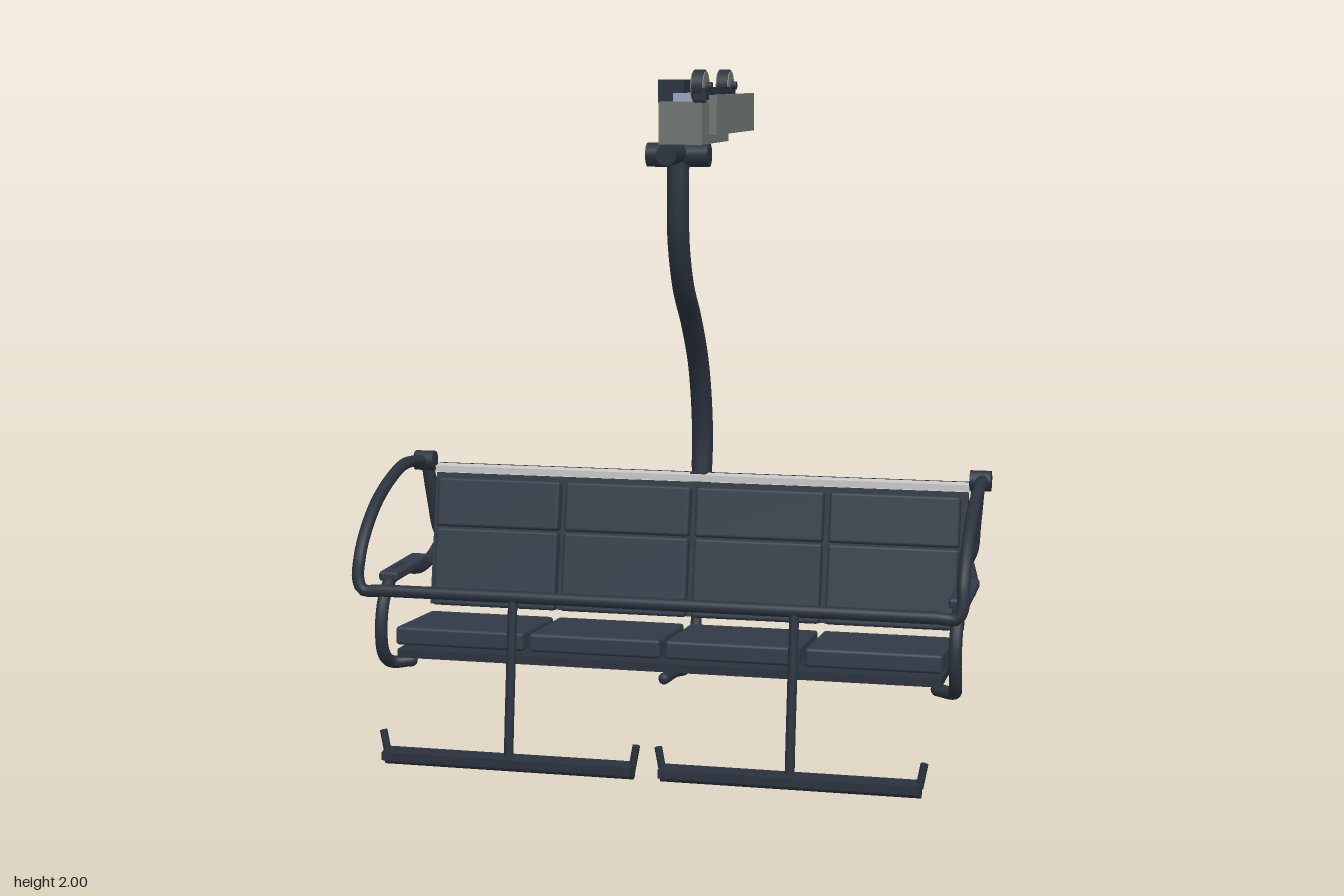
import * as THREE from 'three';
import { RoundedBoxGeometry } from 'three/addons/geometries/RoundedBoxGeometry.js';

const mat = (name, color) => Object.assign(new THREE.MeshStandardMaterial({ color }), { name });
const V = (p) => new THREE.Vector3(...p);

export function createModel() {
  const root = new THREE.Group();
  root.name = 'chairlift';
  const frame = mat('dark steel', 0x2a323e);
  const pad = mat('navy padding', 0x303a47);
  const grey = mat('grip grey', 0x6f7573);
  const strip = mat('pale trim', 0xcacaca);
  const bright = mat('bright steel', 0x97a5bd);

  const add = (name, geo, material, pos = [0, 0, 0], parent = root) => {
    const m = new THREE.Mesh(geo, material);
    m.name = name;
    m.position.set(...pos);
    parent.add(m);
    return m;
  };
  const box = (name, size, pos, material, parent) =>
    add(name, new THREE.BoxGeometry(...size), material, pos, parent);
  const cushion = (name, size, pos, parent) =>
    add(name, new RoundedBoxGeometry(...size, 2, 0.01), pad, pos, parent);
  // straight rod with closed ends
  const rod = (name, a, b, r, material = frame) => {
    const p = V(a), q = V(b), d = q.clone().sub(p);
    const m = add(name, new THREE.CylinderGeometry(r, r, d.length(), 16), material,
      p.clone().add(q).multiplyScalar(0.5).toArray());
    m.quaternion.setFromUnitVectors(new THREE.Vector3(0, 1, 0), d.normalize());
    return m;
  };
  // bent pipe; radius may shrink along its length
  const pipe = (name, pts, r, radiusAt, segs = 64) => {
    const curve = new THREE.CatmullRomCurve3(pts.map(V));
    const geo = new THREE.TubeGeometry(curve, segs, r, 12);
    if (radiusAt) {
      const pos = geo.attributes.position, v = new THREE.Vector3();
      for (let i = 0; i < pos.count; i++) {
        const t = Math.floor(i / 13) / segs, c = curve.getPointAt(t);
        v.fromBufferAttribute(pos, i).sub(c).multiplyScalar(radiusAt(t) / r).add(c);
        pos.setXYZ(i, v.x, v.y, v.z);
      }
    }
    const m = add(name, geo, frame);
    [0, 1].forEach((t) => add(name + 'End', new THREE.SphereGeometry(radiusAt ? radiusAt(t) : r, 12, 8),
      frame, curve.getPointAt(t).toArray()));
    return m;
  };
  const mirrored = (pts) => [...pts, ...pts.map(([x, y, z]) => [-x, y, z]).reverse()];

  // hanger pole, thinning where it passes under the seat
  pipe('hangerPole', [
    [0, 1.75, -0.035], [0, 1.62, -0.03], [0, 1.5, -0.04], [0, 1.37, -0.1], [0, 1.25, -0.215],
    [0, 1.11, -0.315], [0, 0.92, -0.37], [0, 0.75, -0.36], [0, 0.53, -0.325], [0, 0.38, -0.3],
    [0, 0.29, -0.27], [0, 0.225, -0.2], [0, 0.207, -0.13], [0, 0.23, 0.0], [0, 0.245, 0.15],
  ], 0.033, (t) => 0.033 - 0.016 * THREE.MathUtils.smoothstep(t, 0.5, 0.68), 96);
  box('backBracket', [0.05, 0.025, 0.06], [0, 0.765, -0.335], frame);

  // rear cross bar with upturned ends
  pipe('rearFrame', mirrored([[0.86, 0.79, -0.28], [0.848, 0.66, -0.3], [0.835, 0.56, -0.32],
    [0.8, 0.515, -0.325], [0.7, 0.51, -0.325]]), 0.02, null, 120);

  // restraint bar that swings over the sitters
  pipe('restraintBar', mirrored([[0.87, 0.79, -0.28], [0.88, 0.803, -0.13], [0.88, 0.78, 0],
    [0.88, 0.725, 0.14], [0.88, 0.65, 0.24], [0.88, 0.59, 0.285], [0.88, 0.53, 0.3],
    [0.865, 0.5, 0.303], [0.8, 0.5, 0.303]]), 0.018, null, 200);

  for (const s of [1, -1]) {
    rod('restraintPivot', [s * 0.835, 0.79, -0.28], [s * 0.897, 0.79, -0.28], 0.031);
    // armrest hoop and pad
    pipe('armrestFrame', [[0.825, 0.54, -0.322], [0.845, 0.49, -0.27], [0.85, 0.474, -0.17],
      [0.85, 0.495, -0.05], [0.85, 0.505, 0.04], [0.85, 0.485, 0.12], [0.85, 0.43, 0.175],
      [0.85, 0.35, 0.195], [0.85, 0.28, 0.175], [0.84, 0.245, 0.13], [0.79, 0.245, 0.1]]
      .map(([x, y, z]) => [s * x, y, z]), 0.019);
    cushion('armrestPad', [0.06, 0.03, 0.3], [s * 0.85, 0.503, -0.02]);

    // footrest on its drop pole
    const x = s * 0.41;
    pipe('footrestPole', [[x, 0.5, 0.303], [x, 0.3, 0.33], [x, 0.1, 0.355], [x, 0.03, 0.36]], 0.014, null, 24);
    box('footrestPlate', [0.74, 0.024, 0.07], [x, 0.034, 0.37], frame);
    rod('footrestTube', [x - 0.37, 0.021, 0.36], [x + 0.37, 0.021, 0.36], 0.02);
    for (const e of [1, -1])
      rod('footrestTab', [x + e * 0.365, 0.03, 0.36], [x + e * 0.378, 0.1, 0.36], 0.011);
  }

  // backrest: board, four split cushions and a pale top trim
  const back = new THREE.Group();
  back.name = 'backrest';
  back.position.set(0, 0.545, -0.23);
  back.rotation.x = -0.2;
  root.add(back);
  box('backBoard', [1.66, 0.41, 0.022], [0, 0.01, -0.021], frame, back);
  // seat: tilted base and four cushions
  const seat = new THREE.Group();
  seat.name = 'seat';
  seat.position.set(0, 0.325, 0.012);
  seat.rotation.x = -0.07;
  root.add(seat);
  for (let i = 0; i < 4; i++) {
    const x = (i - 1.5) * 0.41;
    cushion('upperBackCushion', [0.392, 0.152, 0.045], [x, 0.123, 0.01], back);
    cushion('lowerBackCushion', [0.392, 0.24, 0.045], [x, -0.077, 0.01], back);
    cushion('seatCushion', [0.394, 0.055, 0.33], [x, 0, 0], seat);
  }
  const base = box('seatBase', [1.62, 0.025, 0.35], [0, 0.276, -0.006], frame);
  base.rotation.x = -0.03;
  box('backTrim', [1.68, 0.02, 0.055], [0, 0.764, -0.314], strip);
  box('trimEdge', [1.68, 0.022, 0.006], [0, 0.764, -0.342], frame);

  // pivot at the top of the hanger
  rod('gripAxle', [0, 1.76, -0.205], [0, 1.76, 0.125], 0.03);
  rod('hangerPivot', [-0.092, 1.755, -0.04], [0.092, 1.755, -0.04], 0.035);

  // cable grip
  box('gripBody', [0.125, 0.12, 0.37], [0.046, 1.85, -0.042], grey);
  box('gripPlate', [0.022, 0.11, 0.54], [0.158, 1.875, -0.042], grey);
  box('gripJaw', [0.075, 0.066, 0.22], [0, 1.938, -0.048], frame);
  box('gripSpring', [0.07, 0.026, 0.29], [0.05, 1.921, -0.045], bright);
  box('rollerRail', [0.035, 0.035, 0.42], [0.107, 1.932, -0.038], frame);
  for (const z of [0.13, -0.215]) {
    rod('roller', [0.085, 1.953, z], [0.115, 1.953, z], 0.047);
    rod('rollerFace', [0.081, 1.953, z], [0.119, 1.953, z], 0.042, grey);
    rod('rollerHub', [0.075, 1.953, z], [0.135, 1.953, z], 0.012);
  }
  return root;
}
